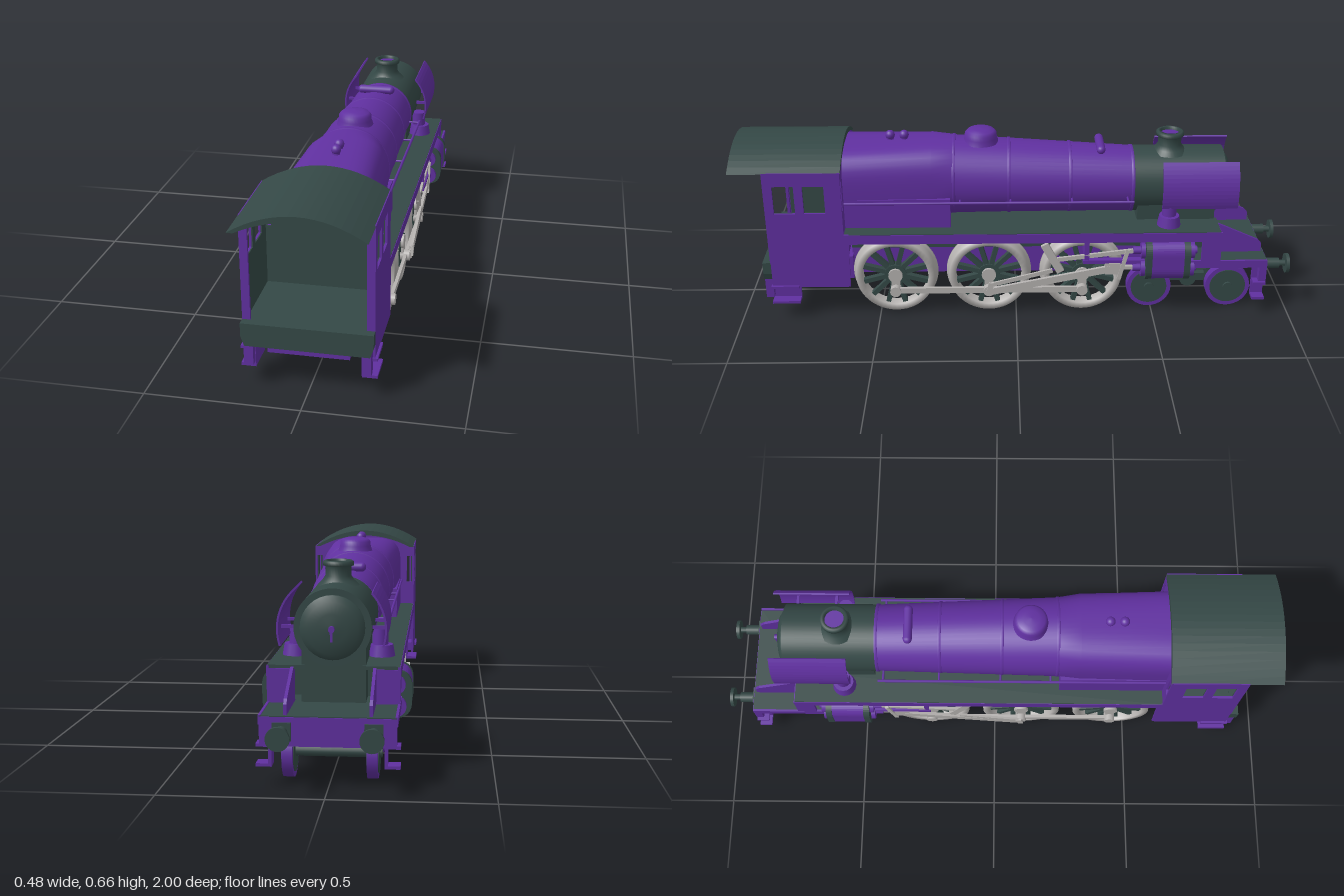
import * as THREE from 'three';

const mat = (name, color) => Object.assign(new THREE.MeshStandardMaterial({ color }), { name });

export function createModel() {
  const purple = mat('purple paint', 0x6030a0);
  const dark = mat('dark slate', 0x344846);
  const steel = mat('bright steel', 0xb4b1af);
  const root = new THREE.Group();
  root.name = 'steamLocomotive';

  // helpers
  const add = (name, geo, m, x = 0, y = 0, z = 0) => {
    const mesh = new THREE.Mesh(geo, m);
    mesh.name = name;
    mesh.position.set(x, y, z);
    root.add(mesh);
    return mesh;
  };
  // box from its min / max limits
  const box = (name, m, x0, x1, y0, y1, z0, z1) =>
    add(name, new THREE.BoxGeometry(Math.abs(x1 - x0), y1 - y0, z1 - z0), m, (x0 + x1) / 2, (y0 + y1) / 2, (z0 + z1) / 2);
  const cylX = (name, m, r, x0, x1, y, z, n = 24) =>
    add(name, new THREE.CylinderGeometry(r, r, Math.abs(x1 - x0), n).rotateZ(Math.PI / 2), m, (x0 + x1) / 2, y, z);
  const cylZ = (name, m, r, z0, z1, x, y, n = 24) =>
    add(name, new THREE.CylinderGeometry(r, r, z1 - z0, n).rotateX(Math.PI / 2), m, x, y, (z0 + z1) / 2);
  const lathe = (pts, n = 32) => new THREE.LatheGeometry(pts.map(p => new THREE.Vector2(...p)), n);
  const poly = (pts, holes = []) => {
    const s = new THREE.Shape(pts.map(p => new THREE.Vector2(...p)));
    s.holes = holes.map(h => new THREE.Path(h.map(p => new THREE.Vector2(...p))));
    return s;
  };
  const rect = (a, b, c, d) => [[a, c], [b, c], [b, d], [a, d]];
  const extrude = (shape, depth) => new THREE.ExtrudeGeometry(shape, { depth, bevelEnabled: false, curveSegments: 10 });
  // plate drawn in (z, y), centred on x
  const sidePlate = (name, m, shape, x, t) =>
    add(name, extrude(shape, t).rotateY(-Math.PI / 2), m, x + t / 2);
  // rounded-square tube through sections [z, halfWidth, yBottom, yTop, exponent]
  const loft = (name, m, secs, n = 48) => {
    const pos = [], idx = [];
    secs.forEach(([z, w, b, t, e], i) => {
      for (let j = 0; j < n; j++) {
        const a = j / n * Math.PI * 2, c = Math.cos(a), s = Math.sin(a);
        const k = (Math.abs(c) ** e + Math.abs(s) ** e) ** (-1 / e);
        pos.push(c * k * w, (b + t) / 2 + s * k * (t - b) / 2, z);
        const p = i * n + j, q = i * n + (j + 1) % n;
        if (i < secs.length - 1) idx.push(p, q, p + n, q, q + n, p + n);
      }
    });
    const g = new THREE.BufferGeometry();
    g.setAttribute('position', new THREE.Float32BufferAttribute(pos, 3));
    g.setIndex(idx);
    g.computeVertexNormals();
    return add(name, g, m);
  };
  const rod = (name, x, [z0, y0], [z1, y1], h, t) => {
    const r = add(name, new THREE.BoxGeometry(t, h, Math.hypot(z1 - z0, y1 - y0)), steel, x, (y0 + y1) / 2, (z0 + z1) / 2);
    r.rotation.x = Math.atan2(y0 - y1, z1 - z0);
  };

  // boiler, firebox and bands
  loft('boiler', purple, [[-0.43, 0.119, 0.343, 0.581, 2], [0.03, 0.135, 0.343, 0.613, 2], [0.22, 0.14, 0.343, 0.625, 2.1]]);
  loft('firebox', purple, [[0.22, 0.14, 0.343, 0.627, 2.1], [0.3, 0.146, 0.34, 0.627, 2.8], [0.62, 0.152, 0.335, 0.616, 4]]);
  for (const s of [-1, 1]) box('fireboxSide', purple, s * 0.1, s * 0.153, 0.335, 0.45, 0.235, 0.615);
  for (const z of [-0.42, -0.195, 0.025, 0.222]) {
    const k = (z + 0.43) / 0.65, w = 0.122 + 0.021 * k, top = 0.584 + 0.046 * k;
    loft('boilerBand', purple, [[z - 0.006, w - 0.004, 0.344, top - 0.004, 2], [z - 0.005, w, 0.34, top, 2],
      [z + 0.005, w, 0.34, top, 2], [z + 0.006, w - 0.004, 0.344, top - 0.004, 2]]);
  }

  // smokebox, door and saddle
  cylZ('smokebox', dark, 0.12, -0.75, -0.42, 0, 0.4625, 48);
  add('smokeboxDoor', lathe([[0.1, 0], [0.1, 0.008], [0.08, 0.02], [0.045, 0.028], [0, 0.031]]).rotateX(-Math.PI / 2), dark, 0, 0.4625, -0.75);
  cylZ('doorBoss', purple, 0.01, -0.795, -0.775, 0, 0.4625, 12);
  box('doorHandle', purple, -0.004, 0.004, 0.425, 0.465, -0.795, -0.788);
  box('saddle', dark, -0.1, 0.1, 0.22, 0.4, -0.72, -0.44);

  // chimney, dome, valves and top feed
  add('chimney', lathe([[0.068, 0], [0.052, 0.015], [0.042, 0.03], [0.041, 0.06], [0.05, 0.063], [0.05, 0.075], [0.043, 0.079], [0.034, 0.079], [0.034, 0.06]]), dark, 0, 0.569, -0.557);
  cylZ('chimneyBore', purple, 0.034, -0.002, 0.002, 0, 0).rotation.x = Math.PI / 2;
  root.children.at(-1).position.set(0, 0.635, -0.557);
  add('dome', lathe([[0.064, 0], [0.058, 0.018], [0.057, 0.034], [0.048, 0.044], [0.028, 0.05], [0, 0.052]]), purple, 0, 0.611, 0.125);
  for (const z of [0.4, 0.45]) {
    add('safetyValve', new THREE.SphereGeometry(0.017, 16, 12), purple, 0, 0.638, z);
    add('valveBase', new THREE.CylinderGeometry(0.012, 0.014, 0.03, 12), purple, 0, 0.62, z);
  }
  add('topFeed', new THREE.CapsuleGeometry(0.016, 0.11, 6, 12).rotateZ(Math.PI / 2), purple, 0, 0.597, -0.305);

  // cab
  const arc = (w, y0, h) => Array.from({ length: 17 }, (_, i) => {
    const u = 1 - i / 8;
    return [u * w, y0 + h * (1 - u * u)];
  });
  add('cabRoof', extrude(poly([...arc(0.208, 0.578, 0.067), ...arc(0.188, 0.578, 0.047).reverse()]), 0.39), dark, 0, 0, 0.61);
  const frontHoles = [-1, 1].map(s => rect(s * 0.19 - 0.012, s * 0.19 + 0.012, 0.43, 0.54));
  const cabFront = poly([[-0.207, 0.2], [0.207, 0.2], ...arc(0.207, 0.577, 0.06)], frontHoles);
  add('cabFrontWall', extrude(cabFront, 0.009), purple, 0, 0, 0.612);
  add('cabInnerWall', extrude(cabFront, 0.004), dark, 0, 0, 0.621);
  const windows = [rect(0.67, 0.745, 0.425, 0.53), rect(0.775, 0.85, 0.425, 0.53)];
  box('cabFloor', dark, -0.2, 0.2, 0.213, 0.228, 0.615, 0.9);
  box('cabUnderframe', purple, -0.13, 0.13, 0.122, 0.213, 0.595, 0.885);
  add('rearFallPlate', extrude(poly([[-0.197, 0.152], [0.197, 0.152], [0.208, 0.185], [0.208, 0.23], [-0.208, 0.23], [-0.208, 0.185]]), 0.03), dark, 0, 0, 0.88);

  // frames
  box('mainFrame', purple, -0.1, 0.1, 0.13, 0.235, -0.44, 0.6);
  box('upperFrame', dark, -0.105, 0.105, 0.235, 0.335, -0.44, 0.6);
  box('forwardFrame', purple, -0.09, 0.09, 0.15, 0.22, -0.88, -0.44);
  box('frontPlatform', dark, -0.205, 0.205, 0.208, 0.222, -0.905, -0.62);
  box('bufferBeam', purple, -0.205, 0.205, 0.13, 0.219, -0.907, -0.88);

  // bogie
  box('bogieFrame', dark, -0.085, 0.085, 0.075, 0.125, -0.77, -0.5);
  box('bogieCentre', dark, -0.05, 0.05, 0.11, 0.16, -0.69, -0.58);

  for (const s of [-1, 1]) {
    // cab side, lining and rear post
    sidePlate('cabSide', purple, poly([[0.6, 0.13], [0.88, 0.13], [0.88, 0.58], [0.612, 0.58], [0.612, 0.34], [0.595, 0.34]], windows), s * 0.204, 0.008);
    sidePlate('cabLining', dark, poly(rect(0.62, 0.87, 0.228, 0.578), windows), s * 0.198, 0.004);
    box('cabRearPost', purple, s * 0.182, s * 0.208, 0.228, 0.579, 0.872, 0.882);

    // running board, valance and handrail
    box('runningBoard', dark, s * 0.09, s * 0.206, 0.328, 0.34, -0.73, 0.612);
    box('valance', purple, s * 0.2, s * 0.208, 0.302, 0.338, -0.735, 0.612);
    box('boardFrontPlate', purple, s * 0.125, s * 0.206, 0.22, 0.33, -0.735, -0.725);
    box('boardEndSide', purple, s * 0.198, s * 0.207, 0.215, 0.33, -0.735, -0.665);
    box('platformValance', purple, s * 0.2, s * 0.208, 0.195, 0.224, -0.905, -0.62);
    sidePlate('frontGusset', purple, poly([[-0.895, 0.22], [-0.7, 0.22], [-0.7, 0.338], [-0.735, 0.335], [-0.88, 0.27], [-0.895, 0.255]]), s * 0.128, 0.01);
    cylZ('handrail', purple, 0.005, -0.42, 0.612, s * 0.156, 0.437, 8);
    for (const z of [-0.4, -0.2, 0.02, 0.2]) cylX('handrailStanchion', purple, 0.004, s * 0.11, s * 0.158, 0.437, z, 8);

    // smoke deflector wrapped around the smokebox
    const ring = [], a0 = -0.32, a1 = 0.74;
    for (let i = 0; i <= 12; i++) ring.push([0.168, a0 + (a1 - a0) * i / 12]);
    for (let i = 12; i >= 0; i--) ring.push([0.162, a0 + (a1 - a0) * i / 12]);
    const plate = ring.map(([r, a]) => [s * r * Math.cos(a), 0.4625 + r * Math.sin(a)]);
    add('smokeDeflector', extrude(poly(plate), 0.27), purple, 0, 0, -0.79);
    for (const z of [-0.72, -0.58]) box('deflectorBracket', purple, s * 0.11, s * 0.164, 0.455, 0.465, z - 0.005, z + 0.005);

    // steam pipe and cylinder block
    add('steamPipe', new THREE.CylinderGeometry(0.026, 0.026, 0.12, 16), purple, s * 0.135, 0.37, -0.55);
    add('steamPipeFlange', new THREE.CylinderGeometry(0.036, 0.044, 0.045, 16), purple, s * 0.14, 0.355, -0.55);
    const block = new THREE.Shape();
    block.moveTo(s * 0.1, 0.15).lineTo(s * 0.19, 0.15);
    block.quadraticCurveTo(s * 0.24, 0.155, s * 0.24, 0.205).lineTo(s * 0.24, 0.255);
    block.quadraticCurveTo(s * 0.24, 0.3, s * 0.19, 0.308).lineTo(s * 0.1, 0.308);
    add('cylinderBlock', extrude(block, 0.115), purple, 0, 0, -0.6).scale.set(0.985, 1, 1);
    for (const z of [-0.622, -0.485]) add('cylinderEndPlate', extrude(block, 0.022), dark, 0, 0, z);
    for (const [y, r] of [[0.192, 0.033], [0.262, 0.03]]) {
      cylZ('cylinderCover', purple, r, -0.64, -0.448, s * 0.19, y);
      cylZ('pistonGland', purple, 0.014, -0.65, -0.42, s * 0.19, y, 12);
    }

    // driving wheels
    for (const z of [0.44, 0.1, -0.24]) {
      const cy = 0.155;
      const tyre = lathe([[0.12, 0.13], [0.155, 0.13], [0.154, 0.136], [0.147, 0.142], [0.143, 0.175], [0.12, 0.175], [0.12, 0.13]], 48);
      add('driverTyre', tyre.rotateZ(-s * Math.PI / 2), steel, 0, cy, z);
      for (let i = 0; i < 6; i++) {
        const spoke = add('driverSpokePair', new THREE.BoxGeometry(0.022, 0.244, 0.017), dark, s * 0.152, cy, z);
        spoke.rotation.x = (i + 0.5) * Math.PI / 6;
      }
      cylX('driverBoss', dark, 0.04, s * 0.135, s * 0.168, cy, z);
      cylX('driverHub', steel, 0.026, s * 0.13, s * 0.178, cy, z);
      cylX('axle', dark, 0.02, 0, s * 0.14, cy, z, 16);
      box('crank', steel, s * 0.165, s * 0.178, 0.09, 0.155, z - 0.016, z + 0.016);
      cylX('crankPin', steel, 0.02, s * 0.165, s * 0.2, 0.1, z, 16);
    }

    // rods and valve gear
    rod('couplingRod', s * 0.185, [0.45, 0.1], [-0.25, 0.1], 0.022, 0.012);
    rod('connectingRod', s * 0.2, [0.1, 0.1], [-0.34, 0.192], 0.026, 0.012);
    rod('pistonRod', s * 0.19, [-0.33, 0.192], [-0.47, 0.192], 0.014, 0.014);
    rod('eccentricRod', s * 0.206, [0.1, 0.13], [-0.13, 0.19], 0.015, 0.008);
    rod('returnCrank', s * 0.208, [0.1, 0.1], [0.09, 0.14], 0.02, 0.008);
    rod('expansionLink', s * 0.195, [-0.1, 0.29], [-0.16, 0.18], 0.028, 0.014);
    rod('radiusRod', s * 0.195, [-0.12, 0.225], [-0.42, 0.262], 0.015, 0.01);
    rod('combinationLever', s * 0.203, [-0.4, 0.27], [-0.37, 0.15], 0.014, 0.008);
    box('crosshead', steel, s * 0.18, s * 0.205, 0.17, 0.215, -0.375, -0.32);
    box('slideBar', purple, s * 0.178, s * 0.202, 0.212, 0.226, -0.48, -0.24);
    box('slideBarBracket', purple, s * 0.1, s * 0.2, 0.22, 0.31, -0.262, -0.245);

    // bogie wheels
    for (const z of [-0.49, -0.782]) {
      cylX('bogieTyre', purple, 0.082, s * 0.112, s * 0.145, 0.085, z, 32);
      cylX('bogieWheelFace', dark, 0.066, s * 0.11, s * 0.148, 0.085, z, 32);
      cylX('bogieAxle', dark, 0.018, 0, s * 0.156, 0.085, z, 16);
    }
    box('bogieSideBar', dark, s * 0.085, s * 0.11, 0.09, 0.12, -0.7, -0.57);
    cylX('bogieSpring', dark, 0.03, s * 0.08, s * 0.135, 0.11, -0.635, 16);

    // steps at the cab and beside the front beam
    for (const [z0, z1] of [[0.785, 0.885], [-0.905, -0.86]]) {
      box('stepHanger', purple, s * 0.168, s * 0.178, 0.066, 0.21, z0, z1);
      box('lowerStep', purple, s * 0.17, s * 0.216, 0.066, 0.076, z0, z1);
      box('upperStep', purple, s * 0.17, s * 0.216, 0.127, 0.137, z0, z1);
    }
    box('cabCornerBracket', purple, s * 0.17, s * 0.2, 0.085, 0.16, 0.88, 0.908);

    // buffers
    box('bufferBase', dark, s * 0.137 - 0.028, s * 0.137 + 0.028, 0.147, 0.203, -0.915, -0.905);
    cylZ('bufferShank', dark, 0.019, -0.965, -0.91, s * 0.137, 0.175, 16);
    cylZ('bufferRam', dark, 0.011, -0.99, -0.96, s * 0.137, 0.175, 12);
    cylZ('bufferHead', dark, 0.036, -1, -0.988, s * 0.137, 0.175, 24);
  }
  return root;
}
